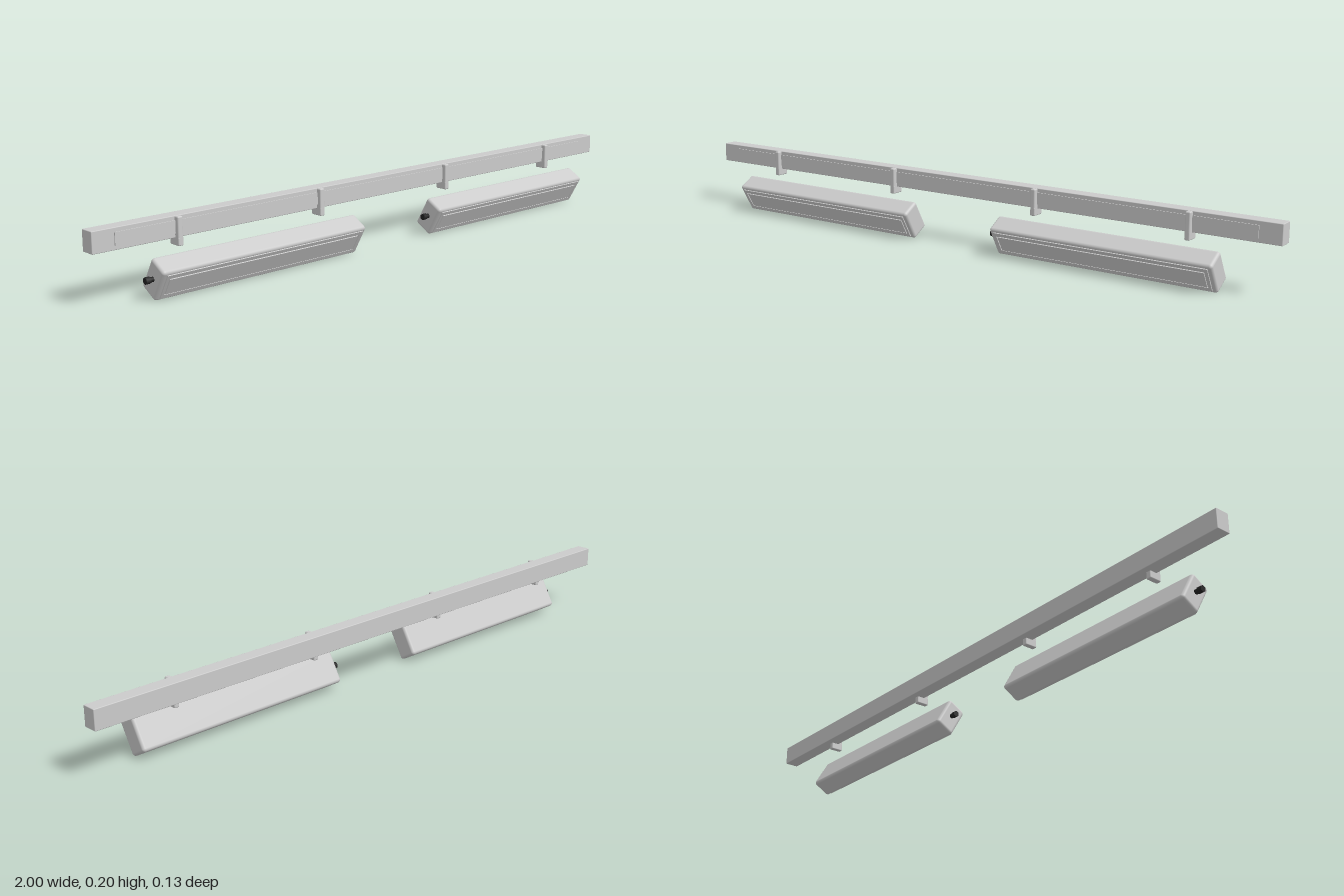
import * as THREE from 'three';
import { RoundedBoxGeometry } from 'three/addons/geometries/RoundedBoxGeometry.js';

const grey = new THREE.MeshStandardMaterial({ color: 0xcccccc });
const black = new THREE.MeshStandardMaterial({ color: 0x222222 });

function add(parent, name, geometry, x, y, z, material = grey) {
  const mesh = new THREE.Mesh(geometry, material);
  mesh.name = name;
  mesh.position.set(x, y, z);
  parent.add(mesh);
  return mesh;
}

// Flat rectangular ring facing +z
function ring(w, h, innerW, innerH, depth) {
  const rect = (Type, a, b) => new Type([
    new THREE.Vector2(-a / 2, -b / 2), new THREE.Vector2(a / 2, -b / 2),
    new THREE.Vector2(a / 2, b / 2), new THREE.Vector2(-a / 2, b / 2)]);
  const shape = rect(THREE.Shape, w, h);
  shape.holes.push(rect(THREE.Path, innerW, innerH));
  return new THREE.ExtrudeGeometry(shape, { depth, bevelEnabled: false });
}

function createLamp(x) {
  const lamp = new THREE.Group();
  lamp.name = 'lamp';
  const w = 0.696, h = 0.099, d = 0.0636;
  add(lamp, 'housing', new RoundedBoxGeometry(w, h, d, 4, 0.009), 0, 0, 0);
  // Front bezel around the light panel
  add(lamp, 'bezel', ring(w - 0.026, 0.079, w - 0.044, 0.056, 0.005), 0, 0, d / 2 - 0.002);
  add(lamp, 'lightPanel', new THREE.BoxGeometry(w - 0.05, 0.051, 0.004), 0, -0.001, d / 2 + 0.001);
  // Cable gland on the right end
  const gland = new THREE.Group();
  gland.name = 'cableGland';
  add(gland, 'collar', new THREE.CylinderGeometry(0.007, 0.007, 0.014, 12), 0, 0.005, 0, black);
  add(gland, 'nut', new THREE.CylinderGeometry(0.01, 0.01, 0.014, 6), 0, 0.019, 0, black);
  gland.rotation.z = Math.PI / 2;
  gland.position.set(-w / 2 + 0.002, 0.002, 0);
  lamp.add(gland);
  // Tilted so the panel faces forward and down
  lamp.position.set(x, 0.058, 0.014);
  lamp.rotation.x = Math.PI / 6;
  return lamp;
}

export function createModel() {
  const model = new THREE.Group();
  model.name = 'lightRail';

  // Long mounting rail with a shallow front strip
  add(model, 'rail', new RoundedBoxGeometry(2, 0.059, 0.044, 2, 0.002), 0, 0.1745, -0.041);
  add(model, 'railStrip', new THREE.BoxGeometry(1.87, 0.035, 0.006), 0, 0.1745, -0.019);

  // Hanging brackets gripping the front and underside of the rail
  for (const x of [-0.746, -0.26, 0.254, 0.74]) {
    const bracket = new THREE.Group();
    bracket.name = 'bracket';
    add(bracket, 'bracketPlate', new RoundedBoxGeometry(0.016, 0.079, 0.018, 3, 0.004), 0, 0.164, -0.013);
    add(bracket, 'bracketFoot', new RoundedBoxGeometry(0.016, 0.024, 0.039, 3, 0.003), 0, 0.1365, -0.0235);
    bracket.position.x = x;
    model.add(bracket);
  }

  for (const x of [-0.502, 0.498]) model.add(createLamp(x));
  return model;
}
